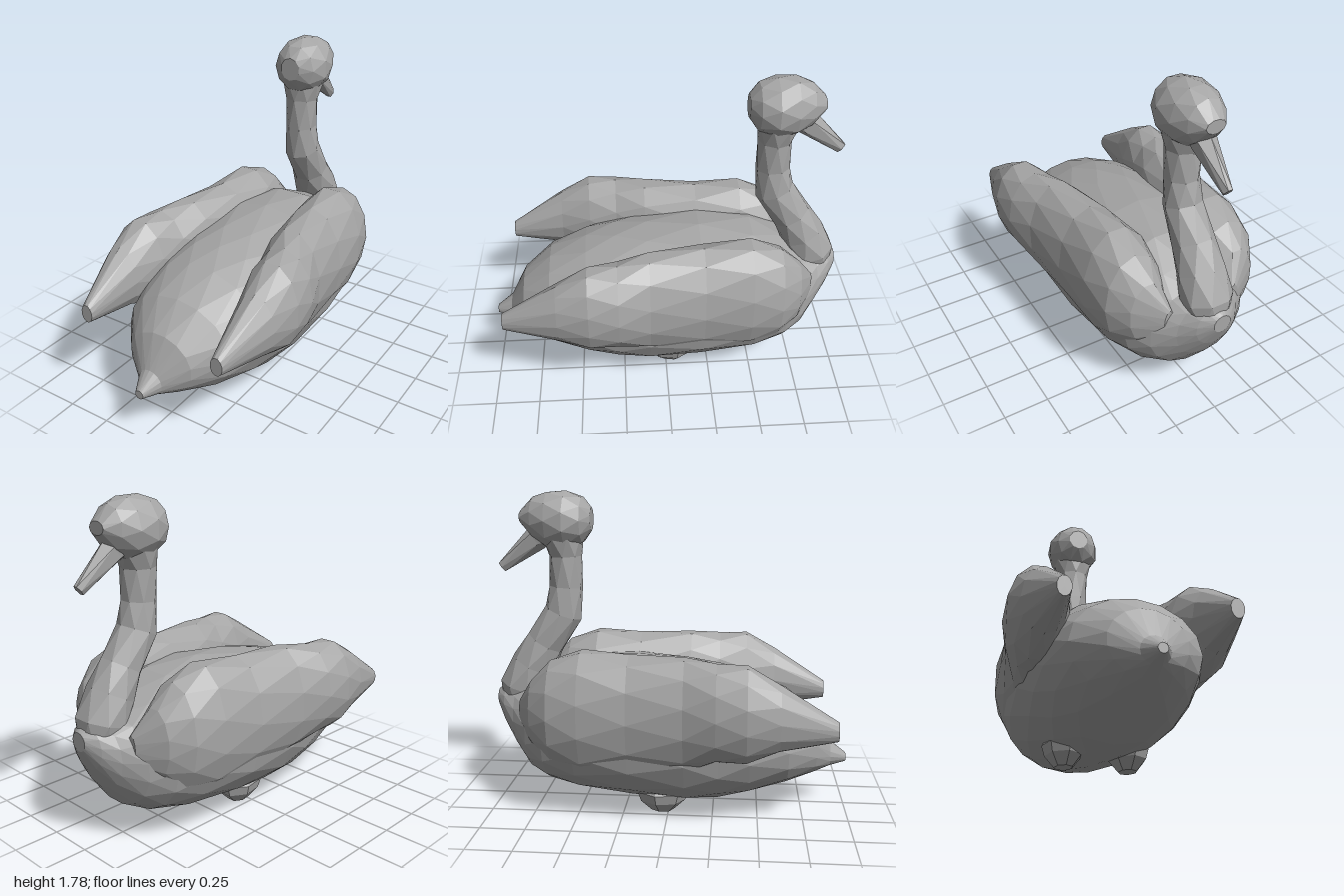
import * as THREE from 'three';

const grey = new THREE.MeshStandardMaterial({ color: 0xa6a6a6, flatShading: true });
grey.name = 'plain grey';

// Skins elliptical rings [x, y, z, halfWidth, halfHeight]; with followPath each ring is square to the path.
function loft(name, rings, sides, followPath = false) {
  const pos = [], idx = [];
  const last = rings.length - 1;
  rings.forEach(([x, y, z, rx, ry], k) => {
    let c = 1, s = 0;
    if (followPath) {
      const a = rings[Math.max(k - 1, 0)], b = rings[Math.min(k + 1, last)];
      const len = Math.hypot(b[1] - a[1], b[2] - a[2]);
      c = (b[2] - a[2]) / len;
      s = -(b[1] - a[1]) / len;
    }
    for (let i = 0; i < sides; i++) {
      const t = ((i + (k % 2) * 0.5) / sides) * Math.PI * 2;
      const h = ry * Math.sin(t);
      pos.push(x + rx * Math.cos(t), y + h * c, z + h * s);
    }
  });
  for (let k = 0; k < last; k++) {
    for (let i = 0; i < sides; i++) {
      const j = (i + 1) % sides;
      const a = k * sides + i, b = k * sides + j;
      const c = a + sides, d = b + sides;
      // Staggered rings: the diagonal alternates with the offset
      if (k % 2) idx.push(a, b, d, a, d, c);
      else idx.push(a, b, c, b, d, c);
    }
  }
  // End caps
  const first = pos.length / 3;
  pos.push(...rings[0].slice(0, 3), ...rings[last].slice(0, 3));
  for (let i = 0; i < sides; i++) {
    const j = (i + 1) % sides;
    idx.push(first, j, i, first + 1, last * sides + i, last * sides + j);
  }
  const geo = new THREE.BufferGeometry();
  geo.setAttribute('position', new THREE.Float32BufferAttribute(pos, 3));
  geo.setIndex(idx);
  geo.computeVertexNormals();
  const mesh = new THREE.Mesh(geo, grey);
  mesh.name = name;
  return mesh;
}

export function createModel() {
  const bird = new THREE.Group();
  bird.name = 'waterBird';

  // Body from breast to tail: [z, bottom, top, half width]
  const body = [
    [-1.0, 0.55, 0.65, 0.05], [-0.95, 0.44, 0.68, 0.12], [-0.88, 0.32, 0.69, 0.19],
    [-0.79, 0.2, 0.71, 0.29], [-0.68, 0.14, 0.77, 0.38], [-0.5, 0.1, 0.85, 0.45],
    [-0.2, 0.06, 0.87, 0.475], [0.1, 0.045, 0.84, 0.47], [0.28, 0.055, 0.81, 0.445],
    [0.45, 0.095, 0.765, 0.41], [0.66, 0.155, 0.675, 0.335], [0.82, 0.205, 0.55, 0.2],
    [0.91, 0.235, 0.38, 0.075], [1.0, 0.26, 0.31, 0.025],
  ].map(([z, lo, hi, w]) => [0, (lo + hi) / 2, z, w, (hi - lo) / 2]);
  bird.add(loft('body', body, 16));

  // Neck, flowing up out of the breast
  bird.add(loft('neck', [
    [0, 0.54, -0.88, 0.1, 0.1], [0, 0.67, -0.858, 0.14, 0.135],
    [0, 0.8, -0.795, 0.13, 0.125], [0, 0.93, -0.72, 0.112, 0.112],
    [0, 1.1, -0.612, 0.102, 0.108], [0, 1.25, -0.592, 0.09, 0.095],
    [0, 1.42, -0.59, 0.097, 0.092], [0, 1.53, -0.6, 0.125, 0.115],
  ], 8, true));

  // Head, from blunt brow to rounded back
  bird.add(loft('head', [
    [0, 1.635, -0.835, 0.055, 0.035], [0, 1.63, -0.765, 0.11, 0.115],
    [0, 1.62, -0.68, 0.148, 0.157], [0, 1.615, -0.58, 0.162, 0.163],
    [0, 1.62, -0.49, 0.125, 0.13], [0, 1.625, -0.44, 0.06, 0.065],
  ], 10));

  // Beak
  bird.add(loft('beak', [
    [0, 1.57, -0.69, 0.07, 0.08], [0, 1.515, -0.755, 0.062, 0.07],
    [0, 1.355, -0.953, 0.024, 0.033],
  ], 6, true));

  // Foot profile, a blunt knob under the belly
  const footProfile = [[0, 0], [0.05, 0.005], [0.1, 0.065], [0.115, 0.12], [0.07, 0.19]]
    .map(([r, y]) => new THREE.Vector2(r, y));

  for (const [side, s] of [['Left', 1], ['Right', -1]]) {
    // Folded wing, blending into the flank, with its trailing tip
    bird.add(loft('wing' + side, [
      [0.2, 0.56, -0.83, 0.03, 0.08], [0.27, 0.59, -0.74, 0.11, 0.19],
      [0.285, 0.6, -0.63, 0.175, 0.29], [0.29, 0.605, -0.46, 0.205, 0.35],
      [0.305, 0.6, -0.2, 0.2, 0.335], [0.35, 0.62, 0.1, 0.185, 0.315],
      [0.405, 0.65, 0.27, 0.178, 0.268], [0.428, 0.655, 0.43, 0.165, 0.262],
      [0.435, 0.64, 0.6, 0.118, 0.18], [0.415, 0.57, 0.905, 0.036, 0.052],
    ].map(([x, ...rest]) => [s * x, ...rest]), 12));

    // Tucked foot
    const foot = new THREE.Mesh(new THREE.LatheGeometry(footProfile, 7), grey);
    foot.name = 'foot' + side;
    foot.scale.z = 1.3;
    foot.position.set(s * 0.175, 0, -0.035);
    bird.add(foot);
  }
  return bird;
}
